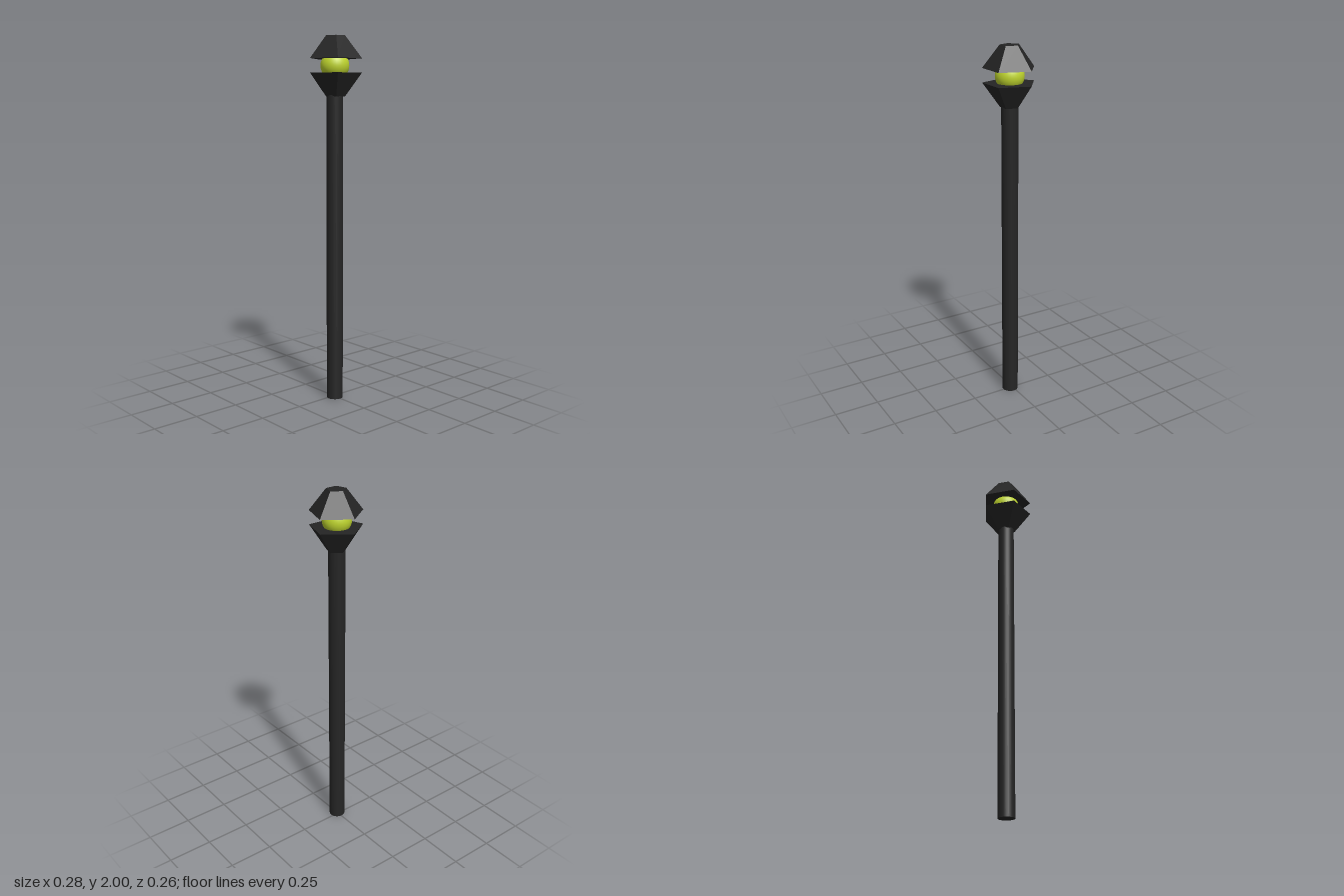
import * as THREE from 'three';

export function createModel() {
  const group = new THREE.Group();
  const cz = 0.013; // common axis of the lamp
  const smoothBlack = new THREE.MeshStandardMaterial({ color: 0x252525 });
  const facetBlack = new THREE.MeshStandardMaterial({ color: 0x252525, flatShading: true });
  const glow = new THREE.MeshStandardMaterial({ color: 0xbfd52f });

  const add = (name, geometry, material, x, y) => {
    const mesh = new THREE.Mesh(geometry, material);
    mesh.name = name;
    mesh.position.set(x, y, cz);
    group.add(mesh);
    return mesh;
  };

  // Five-sided tapered block with one corner pointing to the back
  const pentagonBlock = (name, rTop, rBottom, y0, y1) => {
    const geometry = new THREE.CylinderGeometry(rTop, rBottom, y1 - y0, 5);
    geometry.rotateY(Math.PI);
    add(name, geometry, facetBlack, 0, (y0 + y1) / 2);
  };

  // Post
  add('post', new THREE.CylinderGeometry(0.045, 0.045, 1.69, 32), smoothBlack, -0.003, 0.845);

  // Lamp head: cup, bulb and roof
  pentagonBlock('lampCup', 0.145, 0.053, 1.68, 1.805);
  add('bulb', new THREE.SphereGeometry(0.077, 32, 16), glow, -0.003, 1.843);
  pentagonBlock('lampRoof', 0.053, 0.145, 1.88, 2.0);

  return group;
}
